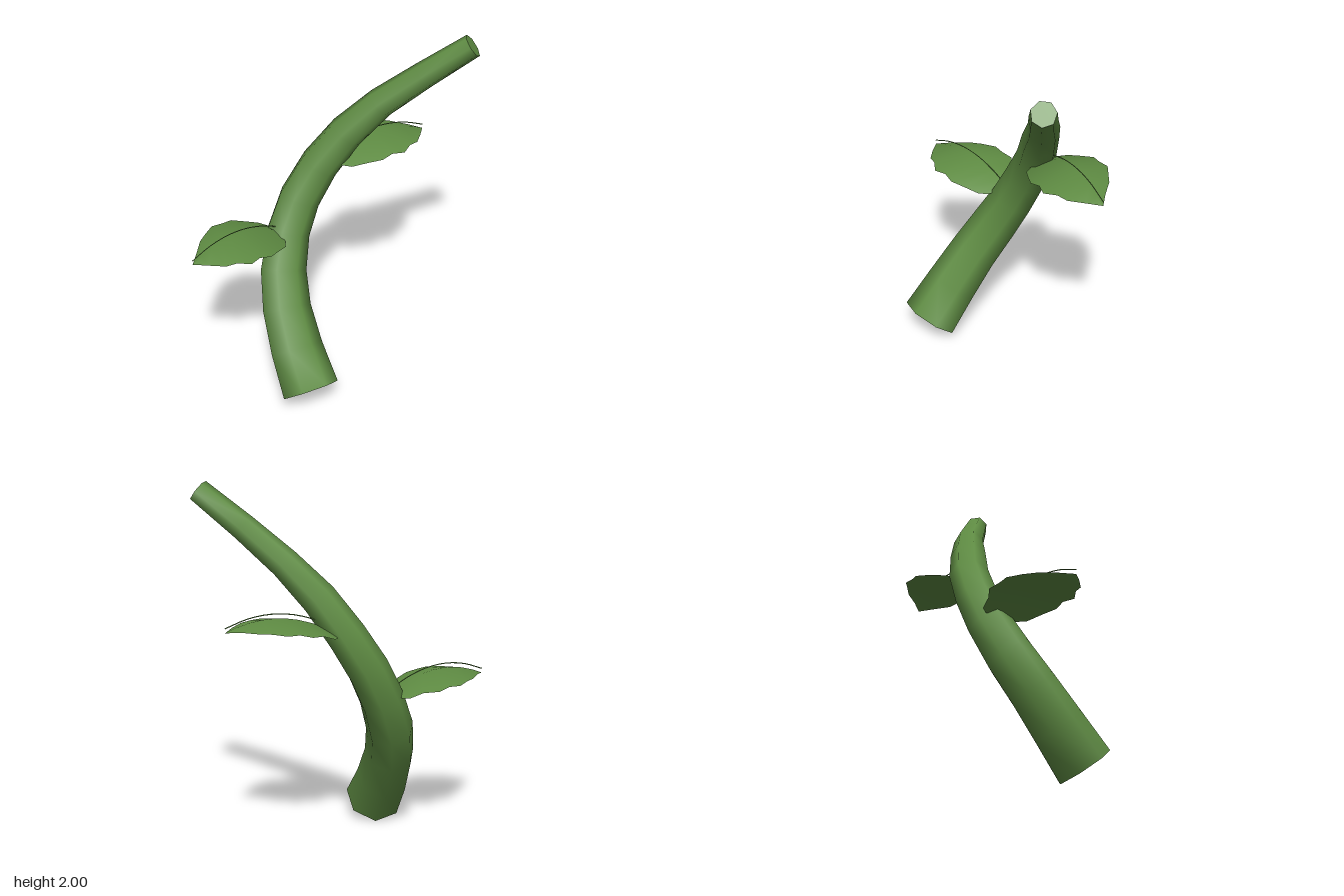
import * as THREE from 'three';

const green = new THREE.MeshStandardMaterial({ color: 0x5f8c43, side: THREE.DoubleSide });
green.name = 'leaf green';

const V = (x, y, z) => new THREE.Vector3(x, y, z);

function meshFrom(name, positions, index) {
  const g = new THREE.BufferGeometry();
  g.setAttribute('position', new THREE.Float32BufferAttribute(positions, 3));
  g.setIndex(index);
  g.computeVertexNormals();
  const m = new THREE.Mesh(g, green);
  m.name = name;
  return m;
}

// Centre line of the stem with its radius at each point
const spine = [
  [-0.30, 0.105, 0.265, 0.163],
  [-0.29, 0.29, 0.11, 0.15],
  [-0.265, 0.475, -0.03, 0.139],
  [-0.215, 0.65, -0.14, 0.132],
  [-0.135, 0.84, -0.21, 0.123],
  [-0.045, 1.02, -0.23, 0.117],
  [0.07, 1.21, -0.205, 0.11],
  [0.195, 1.405, -0.13, 0.1],
  [0.345, 1.585, -0.03, 0.085],
  [0.52, 1.765, 0.115, 0.075],
  [0.715, 1.95, 0.27, 0.066],
];

// Seven-sided tapered stem, smooth along its length, with flat ends
function makeStem() {
  const group = new THREE.Group();
  group.name = 'stem';
  const sides = 7, pos = [], idx = [], rings = [];
  const pts = spine.map(([x, y, z]) => V(x, y, z));
  let u = V(1, 0, 0);
  pts.forEach((p, i) => {
    const t = pts[Math.min(i + 1, pts.length - 1)].clone()
      .sub(pts[Math.max(i - 1, 0)]).normalize();
    u = u.clone().addScaledVector(t, -u.dot(t)).normalize();
    const v = u.clone().cross(t).negate(); // points up and forward at the base
    const ring = [];
    for (let k = 0; k < sides; k++) {
      const a = 0.42 + (k / sides) * Math.PI * 2;
      ring.push(p.clone()
        .addScaledVector(u, Math.cos(a) * spine[i][3])
        .addScaledVector(v, Math.sin(a) * spine[i][3]));
    }
    rings.push(ring);
    ring.forEach((q) => pos.push(q.x, q.y, q.z));
  });
  for (let i = 0; i < pts.length - 1; i++) {
    for (let k = 0; k < sides; k++) {
      const a = i * sides + k, b = i * sides + ((k + 1) % sides);
      idx.push(a, b, a + sides, b, b + sides, a + sides);
    }
  }
  group.add(meshFrom('stemSide', pos, idx));

  const cap = (name, ring, flip) => {
    const p = ring.flatMap((q) => [q.x, q.y, q.z]), t = [];
    for (let k = 1; k < sides - 1; k++) t.push(0, flip ? k + 1 : k, flip ? k : k + 1);
    return meshFrom(name, p, t);
  };
  group.add(cap('baseEnd', rings[0], true), cap('tipEnd', rings[rings.length - 1], false));
  return group;
}

// Leaf outline: distance from the tip, back edge z, front edge z
const outline = [
  [0, -0.13, -0.13], [0.06, -0.195, -0.065], [0.13, -0.28, 0], [0.19, -0.325, 0.015],
  [0.255, -0.375, 0.055], [0.32, -0.37, 0.03], [0.385, -0.39, 0.035],
  [0.46, -0.345, -0.005], [0.53, -0.33, -0.05], [0.56, -0.29, -0.1], [0.58, -0.2, -0.2],
];
const arch = (d) => 0.48 * d - 0.93 * d * d;
const midZ = (d) => -0.13 - 0.12 * d;

// side = 1 for the left leaf, -1 for the right leaf
function makeLeaf(name, side, tipX, tipY) {
  const group = new THREE.Group();
  group.name = name;
  const pos = [], idx = [];
  outline.forEach(([d, zb, zf], i) => {
    const x = side * (tipX - d), m = midZ(d);
    for (const z of [zb, m, zf]) {
      pos.push(x, tipY + arch(d) - 0.22 * Math.abs(z - m), z);
    }
    if (i === 0) return;
    for (let k = 0; k < 2; k++) {
      const a = (i - 1) * 3 + k, b = a + 1, c = a + 3, e = a + 4;
      if (side > 0) idx.push(a, c, b, b, c, e);
      else idx.push(a, b, c, b, e, c);
    }
  });
  // Upper faces must wind upward
  const blade = meshFrom('blade', pos, idx);
  if (blade.geometry.attributes.normal.getY(13) < 0) {
    blade.geometry.setIndex(idx.slice().reverse());
    blade.geometry.computeVertexNormals();
  }
  // Thin vein running just above the blade
  const path = new THREE.CatmullRomCurve3([0, 0.12, 0.24, 0.36, 0.48, 0.56].map(
    (d) => V(side * (tipX - d), tipY + arch(d) + 0.024, midZ(d))));
  const vein = new THREE.Mesh(new THREE.TubeGeometry(path, 14, 0.003, 4), green);
  vein.name = 'vein';
  group.add(blade, vein);
  return group;
}

export function createModel() {
  const model = new THREE.Group();
  model.name = 'leafyStem';
  model.add(
    makeStem(),
    makeLeaf('leftLeaf', 1, 0.713, 1.27),
    makeLeaf('rightLeaf', -1, 0.777, 0.905),
  );
  return model;
}
